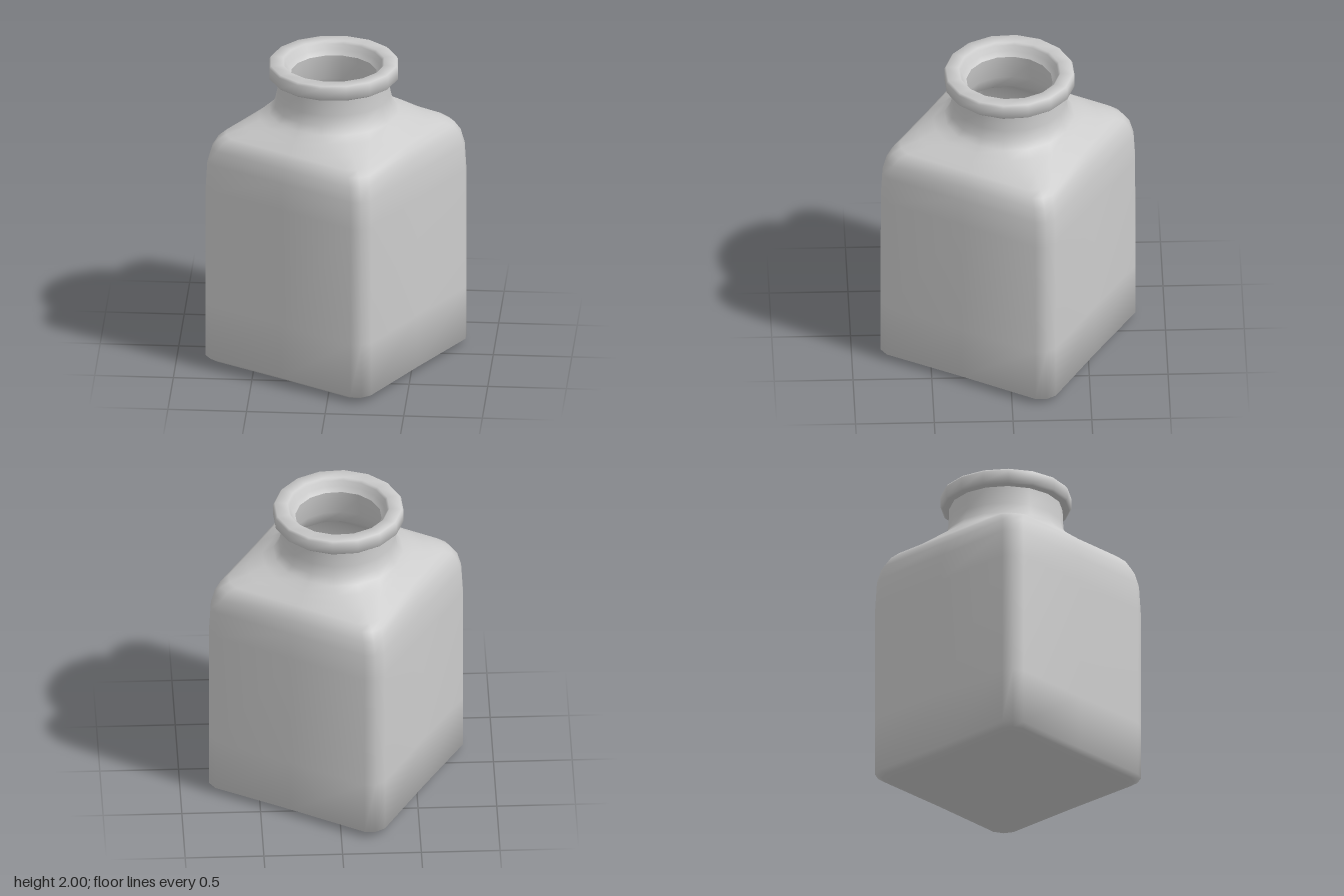
import * as THREE from 'three';
import { toCreasedNormals } from 'three/addons/utils/BufferGeometryUtils.js';

const TURN = Math.PI / 6; // the square body stands turned about y
const lerp = THREE.MathUtils.lerp;

// Ring of 16 points. c: corner radius, y: height, k: 0 = rounded square, 1 = circle
function ring([c, y, k]) {
  const pts = [];
  const flank = lerp(0.703, Math.PI / 8, k); // angle where the corner rounding starts
  const angles = [0, flank, Math.PI / 4, Math.PI / 2 - flank];
  const radii = [0.74, 0.978, 1, 0.978].map((r) => c * lerp(r, 1, k));
  for (let side = 0; side < 4; side++) {
    for (let i = 0; i < 4; i++) {
      const a = TURN + side * Math.PI / 2 + angles[i];
      pts.push([radii[i] * Math.cos(a) - 0.015 * k, y, radii[i] * Math.sin(a) - 0.01 * k]);
    }
  }
  return pts;
}

// Skin a list of sections [c, y, k]
function loft(name, sections, material) {
  const rings = sections.map(ring);
  const n = rings[0].length;
  const index = [];
  for (let i = 0; i < rings.length - 1; i++) {
    for (let j = 0; j < n; j++) {
      const a = i * n + j, b = i * n + (j + 1) % n;
      if (sections[i][0] > 0) index.push(a, a + n, b);
      if (sections[i + 1][0] > 0) index.push(b, a + n, b + n);
    }
  }
  const geo = new THREE.BufferGeometry();
  geo.setAttribute('position', new THREE.Float32BufferAttribute(rings.flat(2), 3));
  geo.setIndex(index);
  const mesh = new THREE.Mesh(toCreasedNormals(geo, 1.2), material);
  mesh.name = name;
  return mesh;
}

export function createModel() {
  const group = new THREE.Group();
  group.name = 'squareBottle';
  const glass = new THREE.MeshStandardMaterial({ color: 0xcccccc, side: THREE.DoubleSide });

  // Base, walls, shoulder and neck
  group.add(loft('bottleBody', [
    [0, 0, 0], [0.73, 0, 0], [0.8, 0.015, 0], [0.845, 0.04, 0], [0.845, 0.4, 0],
    [0.843, 1.2, 0], [0.832, 1.38, 0], [0.805, 1.47, 0], [0.765, 1.525, 0.03],
    [0.71, 1.555, 0.1], [0.58, 1.595, 0.35], [0.485, 1.635, 0.7], [0.415, 1.665, 0.95],
    [0.38, 1.71, 1], [0.365, 1.78, 1], [0.36, 1.9, 1],
  ], glass));

  // Rounded lip around the mouth
  group.add(loft('mouthRim', [
    [0.36, 1.9, 1], [0.402, 1.9, 1], [0.416, 1.912, 1], [0.416, 1.985, 1], [0.405, 2, 1],
    [0.325, 2, 1], [0.312, 1.985, 1], [0.3, 1.95, 1], [0.275, 1.92, 1],
  ], glass));

  // Inside wall and floor
  group.add(loft('innerLining', [
    [0.275, 1.92, 1], [0.28, 1.88, 1], [0.3, 1.75, 1], [0.33, 1.66, 1], [0.43, 1.59, 0.7],
    [0.54, 1.545, 0.35], [0.65, 1.5, 0.1], [0.73, 1.43, 0], [0.765, 1.3, 0],
    [0.77, 0.1, 0], [0.72, 0.06, 0], [0, 0.06, 0],
  ], glass));

  return group;
}
